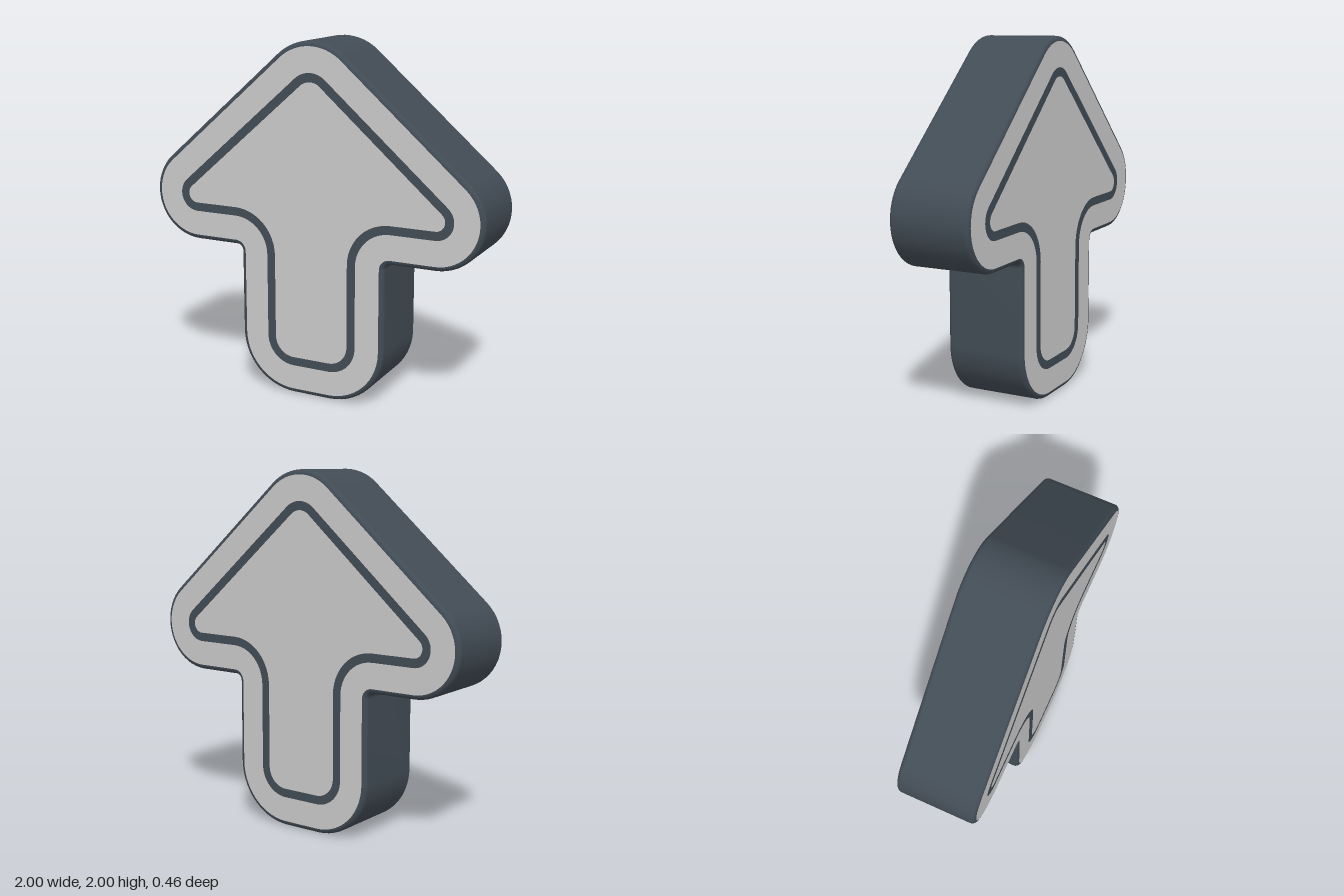
import * as THREE from 'three';

const HALF = 0.228;   // half thickness
const BEVEL = 0.027;  // rounded edge radius
const BAND_OUT = 0.168, BAND_IN = 0.217; // inset distances of the dark inlay line

// Rounded arrow outline, inset by d: arcs as [cx, cy, radius, startDeg, endDeg, steps]
function outline(d) {
  const slope = 48.9;
  const arcs = [
    [0.11, 0.33, 0.33 - d, -90, 0, 14],            // foot corner
    [0.475, 0.80, 0.035 + d, 180, 90, 12],         // inside corner under the wing
    [0.73, 1.105, 0.27 - d, -90, slope, 20],       // wing tip
    [0, 1.695, 0.305 - d, slope, 90, 8],           // apex
  ];
  const half = [];
  for (const [cx, cy, r, a0, a1, n] of arcs) {
    for (let i = 0; i <= n; i++) {
      const a = THREE.MathUtils.degToRad(a0 + (a1 - a0) * i / n);
      half.push(new THREE.Vector2(cx + r * Math.cos(a), cy + r * Math.sin(a)));
    }
  }
  const mirrored = half.slice(0, -1).reverse().map(p => new THREE.Vector2(-p.x, p.y));
  return [...half, ...mirrored];
}

// Side wall with rounded front and back edges, lofted from inset outlines
function shellGeometry() {
  const rows = [];
  const steps = 5;
  for (let i = 0; i <= steps; i++) {
    const a = (i / steps) * Math.PI / 2;
    rows.push([BEVEL * (1 - Math.sin(a)), -HALF + BEVEL * (1 - Math.cos(a))]);
  }
  rows.push(...rows.slice().reverse().map(([d, z]) => [d, -z]));

  const positions = [], index = [];
  let count = 0;
  for (const [d, z] of rows) {
    const ring = outline(d);
    count = ring.length;
    for (const p of ring) positions.push(p.x, p.y, z);
  }
  for (let i = 0; i < rows.length - 1; i++) {
    for (let j = 0; j < count; j++) {
      const k = (j + 1) % count;
      const a = i * count + j, b = i * count + k;
      const c = b + count, e = a + count;
      index.push(a, b, c, a, c, e);
    }
  }
  const geometry = new THREE.BufferGeometry();
  geometry.setAttribute('position', new THREE.Float32BufferAttribute(positions, 3));
  geometry.setIndex(index);
  geometry.computeVertexNormals();
  return geometry;
}

// Flat face between two insets; without an inner inset it is a full panel
function faceGeometry(outer, inner) {
  const shape = new THREE.Shape(outline(outer));
  if (inner !== undefined) shape.holes.push(new THREE.Path(outline(inner).reverse()));
  return new THREE.ShapeGeometry(shape).translate(0, 0, HALF);
}

export function createModel() {
  const dark = new THREE.MeshStandardMaterial({ color: 0x424c55 });
  const light = new THREE.MeshStandardMaterial({ color: 0xf9fafc });
  const grey = new THREE.MeshStandardMaterial({ color: 0xcccccc });

  const model = new THREE.Group();
  model.name = 'arrow';

  const add = (parent, name, geometry, material) => {
    const mesh = new THREE.Mesh(geometry, material);
    mesh.name = name;
    parent.add(mesh);
  };

  add(model, 'sideWall', shellGeometry(), dark);

  // Identical faces on front and back
  const rim = faceGeometry(BEVEL, BAND_OUT);
  const inlay = faceGeometry(BAND_OUT, BAND_IN);
  const panel = faceGeometry(BAND_IN);
  for (const side of ['front', 'back']) {
    const face = new THREE.Group();
    face.name = side + 'Face';
    add(face, side + 'Rim', rim, light);
    add(face, side + 'InlayLine', inlay, dark);
    add(face, side + 'Panel', panel, grey);
    if (side === 'back') face.rotation.y = Math.PI;
    model.add(face);
  }
  return model;
}
